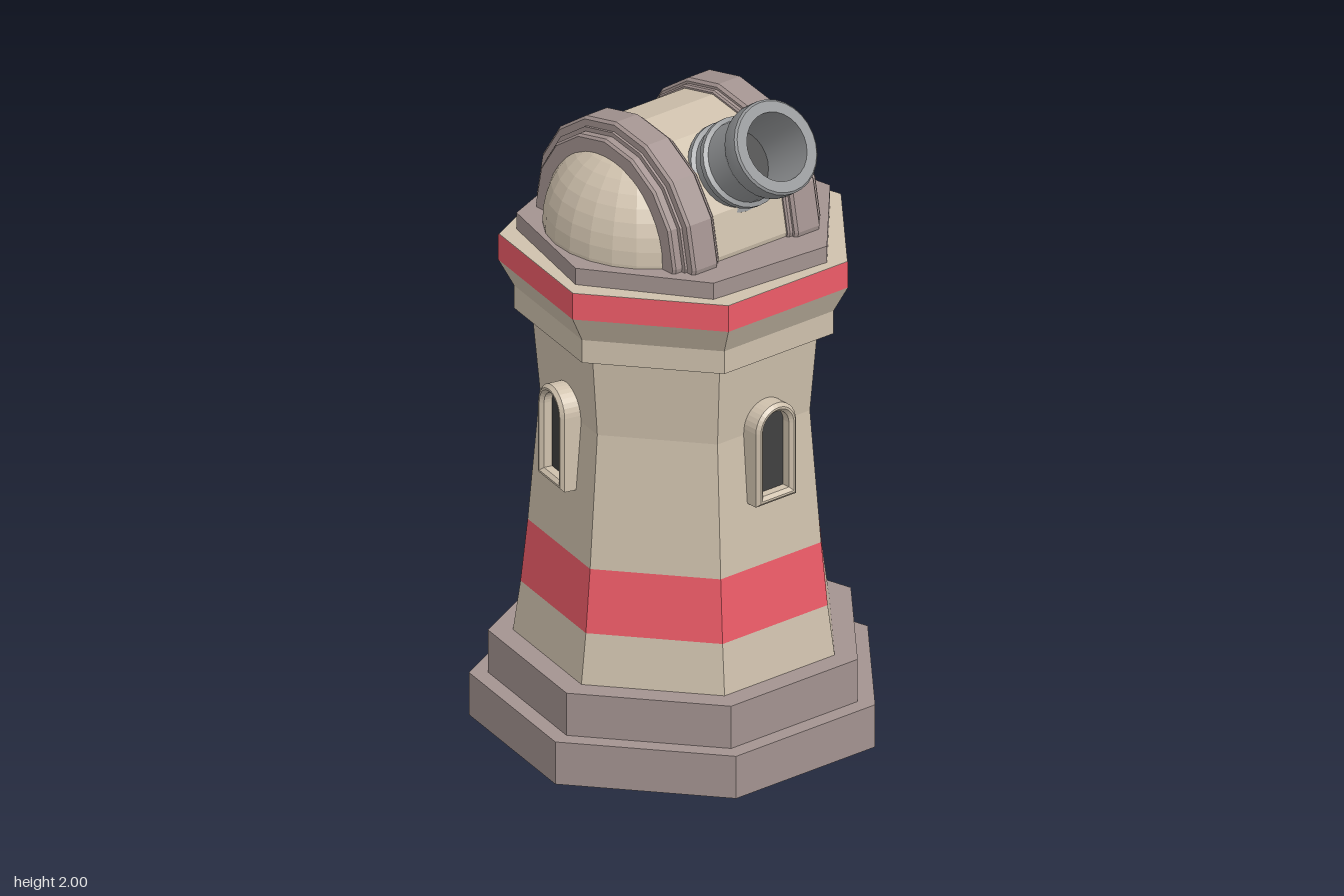
import * as THREE from 'three';
import { toCreasedNormals } from 'three/addons/utils/BufferGeometryUtils.js';

const mat = (color, flatShading = true) => new THREE.MeshStandardMaterial({ color, flatShading });
const STONE = mat(0xcfc1ad), TRIM = mat(0xa39390), RED = mat(0xee5c68);
const METAL = mat(0x929496, false), DARK = mat(0x404040);

const SIDES = 7, CZ = 0.03;          // heptagonal tower, corner to the back
const DOME_Y = 1.543, DOME_Z = 0.02; // axis of the turret roof
const STEP = Math.PI / 8;            // 16-sided roof

function add(parent, name, geometry, material) {
  const mesh = new THREE.Mesh(geometry, material);
  mesh.name = name;
  parent.add(mesh);
  return mesh;
}

// Seven-sided tier between two heights
function tier(parent, name, y0, y1, r0, r1, material, open = false, twist = 0) {
  const g = new THREE.CylinderGeometry(r1, r0, y1 - y0, SIDES, 1, open, Math.PI / SIDES + twist);
  g.translate(0, (y0 + y1) / 2, CZ);
  return add(parent, name, g, material);
}

// Upper part of a 16-sided drum turned about the x axis; points are [radius, x]
function drum(parent, name, points, material) {
  const profile = points.map(([r, x]) => new THREE.Vector2(r, x));
  const g = new THREE.LatheGeometry(profile, 10, 1.5 * Math.PI - 5 * STEP, 10 * STEP);
  g.rotateZ(-Math.PI / 2);
  return add(parent, name, g, material);
}

// Outline with a round top
function arch(target, halfWidth, y0, y1) {
  const spring = y1 - halfWidth;
  target.moveTo(-halfWidth, y0);
  target.lineTo(halfWidth, y0);
  target.lineTo(halfWidth, spring);
  target.absarc(0, spring, halfWidth, 0, Math.PI, false);
  target.lineTo(-halfWidth, y0);
  return target;
}

function makeWindow(angle) {
  const group = new THREE.Group();
  group.name = 'window';
  const shape = arch(new THREE.Shape(), 0.062, 0.805, 1.082);
  shape.holes.push(arch(new THREE.Path(), 0.056, 0.812, 1.076));
  const frame = new THREE.ExtrudeGeometry(arch(new THREE.Shape(), 0.073, 0.795, 1.092), {
    depth: 0.01, bevelEnabled: false, curveSegments: 8 });
  frame.dispose();
  const outer = arch(new THREE.Shape(), 0.064, 0.804, 1.083);
  outer.holes.push(arch(new THREE.Path(), 0.058, 0.81, 1.077));
  const g = new THREE.ExtrudeGeometry(outer, {
    depth: 0.075, bevelSize: 0.01, bevelThickness: 0.01, bevelSegments: 1, curveSegments: 8 });
  g.translate(0, 0, 0.33);
  add(group, 'windowFrame', g, STONE);
  const pane = new THREE.ExtrudeGeometry(arch(new THREE.Shape(), 0.058, 0.81, 1.077), {
    depth: 0.04, bevelEnabled: false, curveSegments: 8 });
  pane.translate(0, 0, 0.34);
  add(group, 'windowPane', pane, DARK);
  group.position.z = CZ;
  group.rotation.y = angle;
  return group;
}

function makeRoof() {
  const roof = new THREE.Group();
  roof.name = 'turretRoof';
  drum(roof, 'roofBarrel', [[0.313, -0.15], [0.313, 0.15]], STONE);
  for (const side of [0, 1]) {
    const half = new THREE.Group();
    half.name = side ? 'rightRoofEnd' : 'leftRoofEnd';
    half.rotation.y = side * Math.PI;
    // Stepped rib
    drum(half, 'roofRib', [
      [0.28, 0.127], [0.318, 0.127], [0.323, 0.132], [0.323, 0.142], [0.33, 0.142],
      [0.338, 0.15], [0.338, 0.227], [0.33, 0.235], [0.31, 0.235], [0.31, 0.243],
      [0.297, 0.243], [0.297, 0.265], [0.29, 0.272], [0.23, 0.272],
    ], TRIM);
    // Rounded end
    const cap = new THREE.SphereGeometry(1, 24, 12, 0, Math.PI * 2, 0, Math.PI * 0.55);
    cap.scale(0.25, 0.283, 0.283);
    cap.translate(0.15, 0, 0);
    add(half, 'domeEnd', cap, STONE);
    roof.add(half);
  }
  roof.position.set(0, DOME_Y, DOME_Z);
  return roof;
}

function makeBarrel() {
  const barrel = new THREE.Group();
  barrel.name = 'gunBarrel';
  // Outer skin with two rings and a muzzle lip, then the bore
  const profile = [
    [0.118, 0], [0.118, 0.24], [0.131, 0.245], [0.131, 0.262], [0.118, 0.267],
    [0.118, 0.302], [0.131, 0.307], [0.131, 0.324], [0.118, 0.329], [0.116, 0.41],
    [0.136, 0.442], [0.138, 0.45], [0.138, 0.494], [0.132, 0.5], [0.1, 0.5], [0.098, 0.3],
  ].map(([r, y]) => new THREE.Vector2(r, y));
  add(barrel, 'barrelTube', toCreasedNormals(new THREE.LatheGeometry(profile, 28), 0.4), METAL);
  const end = new THREE.CircleGeometry(0.1, 28);
  end.rotateX(-Math.PI / 2);
  end.translate(0, 0.305, 0);
  add(barrel, 'boreEnd', end, DARK);
  barrel.rotation.x = 0.977;
  barrel.position.set(0, 1.605, 0.025);
  return barrel;
}

export function createModel() {
  const model = new THREE.Group();
  model.name = 'gunTower';

  // Stepped plinth
  tier(model, 'lowerPlinth', 0, 0.13, 0.59, 0.59, TRIM);
  tier(model, 'upperPlinth', 0.13, 0.26, 0.537, 0.537, TRIM);

  // Tapering walls with a painted band
  tier(model, 'lowerWall', 0.26, 0.41, 0.467, 0.446, STONE);
  tier(model, 'wallBand', 0.41, 0.6, 0.446, 0.426, RED);
  tier(model, 'middleWall', 0.6, 1.0, 0.426, 0.392, STONE);
  tier(model, 'upperWall', 1.0, 1.25, 0.392, 0.415, STONE);

  // Flared collar and top deck
  tier(model, 'collar', 1.25, 1.32, 0.464, 0.464, STONE);
  tier(model, 'collarFlare', 1.32, 1.4, 0.464, 0.508, STONE);
  tier(model, 'deck', 1.4, 1.48, 0.506, 0.506, STONE);
  tier(model, 'deckBand', 1.4, 1.48, 0.508, 0.508, RED, true);
  tier(model, 'turretBase', 1.48, 1.53, 0.457, 0.457, TRIM, false, -0.063);

  // Windows on the front and both sides
  for (const k of [-2, 0, 2]) model.add(makeWindow((k * 2 * Math.PI) / SIDES));

  model.add(makeRoof(), makeBarrel());
  return model;
}
